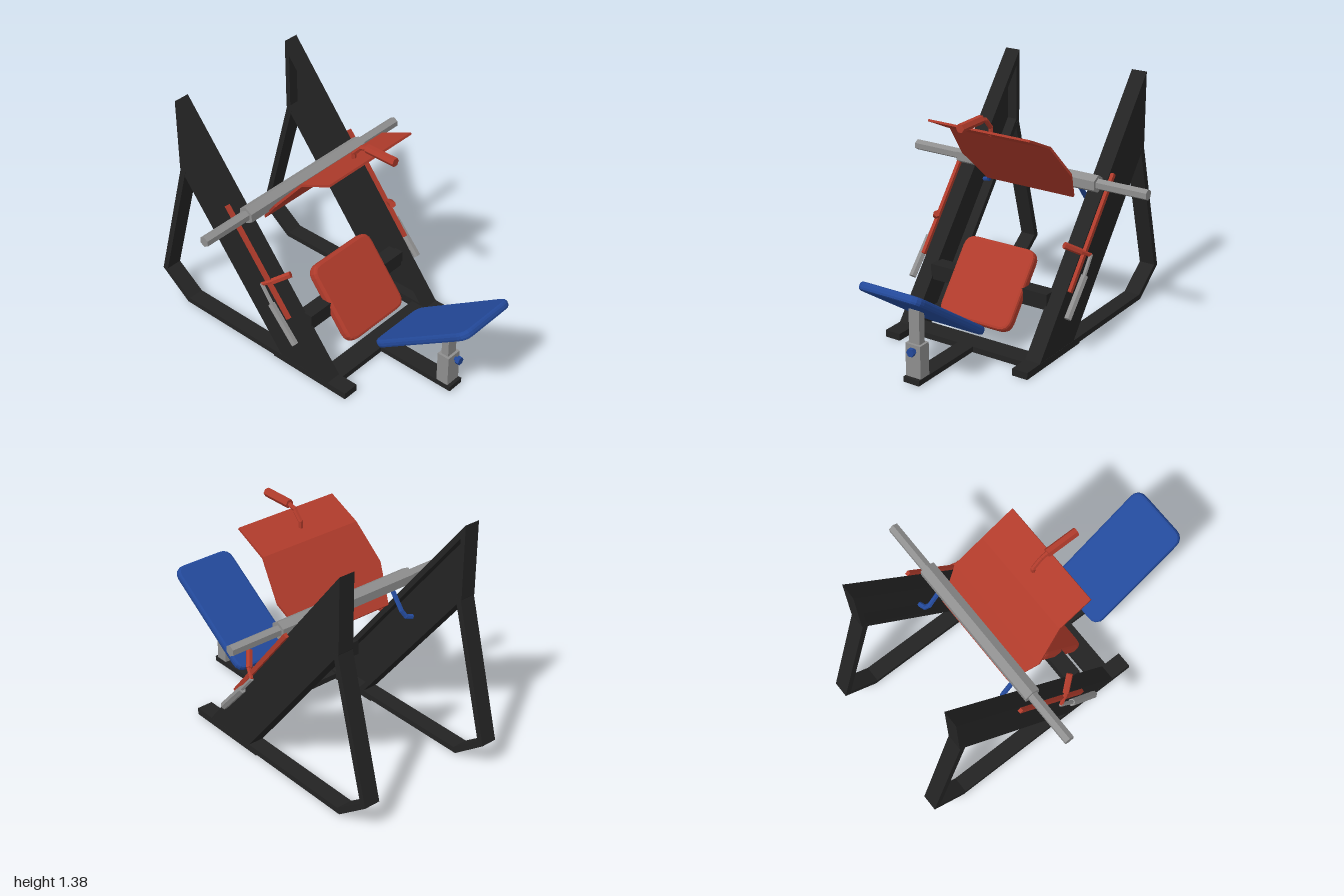
import * as THREE from 'three';

const mat = (name, color) => {
  const m = new THREE.MeshStandardMaterial({ color, flatShading: true });
  m.name = name;
  return m;
};
const V = (x, y, z = 0) => new THREE.Vector3(x, y, z);

export function createModel() {
  const model = new THREE.Group();
  const black = mat('black steel', 0x232323);
  const red = mat('red', 0xb03b2b);
  const blue = mat('blue', 0x23499a);
  const grey = mat('grey metal', 0x8e8e8e);

  const add = (name, geo, material) => {
    const mesh = new THREE.Mesh(geo, material);
    mesh.name = name;
    model.add(mesh);
    return mesh;
  };
  // box given by its minimum and maximum corners
  const box = (name, m, x0, x1, y0, y1, z0, z1) =>
    add(name, new THREE.BoxGeometry(x1 - x0, y1 - y0, z1 - z0), m)
      .position.set((x0 + x1) / 2, (y0 + y1) / 2, (z0 + z1) / 2);
  // six-sided rod between two points
  const rod = (name, m, a, b, r) => {
    const d = b.clone().sub(a);
    const mesh = add(name, new THREE.CylinderGeometry(r, r, d.length(), 6), m);
    mesh.position.copy(a).add(b).multiplyScalar(0.5);
    mesh.quaternion.setFromUnitVectors(V(0, 1, 0), d.normalize());
    return mesh;
  };
  // bent tube: straight pieces joined by small knuckles
  const bentRod = (name, m, points, r) => {
    const path = new THREE.CurvePath();
    for (let i = 1; i < points.length; i++) path.add(new THREE.LineCurve3(points[i - 1], points[i]));
    path.curves.forEach((c, i) => {
      rod(name, m, c.v1, c.v2, r);
      if (i) add(name + 'Joint', new THREE.IcosahedronGeometry(r, 1), m).position.copy(c.v1);
    });
  };
  // side profile in xy, extruded from z0 to z1
  const profile = (name, m, pts, z0, z1, hole) => {
    const shape = new THREE.Shape(pts.map(p => new THREE.Vector2(...p)));
    if (hole) shape.holes.push(new THREE.Path(hole.map(p => new THREE.Vector2(...p))));
    const geo = new THREE.ExtrudeGeometry(shape, { depth: z1 - z0, bevelEnabled: false });
    add(name, geo, m).position.z = z0;
  };
  // cushion with rounded corners and bevelled rim, tilted in the xy plane
  const cushion = (name, m, x, y, angle, length, width, thick, r) => {
    const bevel = 0.015, a = length / 2 - bevel, b = width / 2 - bevel;
    const s = new THREE.Shape();
    s.moveTo(-a + r, -b);
    s.lineTo(a - r, -b).quadraticCurveTo(a, -b, a, -b + r);
    s.lineTo(a, b - r).quadraticCurveTo(a, b, a - r, b);
    s.lineTo(-a + r, b).quadraticCurveTo(-a, b, -a, b - r);
    s.lineTo(-a, -b + r).quadraticCurveTo(-a, -b, -a + r, -b);
    const depth = thick - 2 * bevel;
    const geo = new THREE.ExtrudeGeometry(s, {
      depth, curveSegments: 4, bevelThickness: bevel, bevelSize: bevel, bevelSegments: 2,
    });
    geo.translate(0, 0, -depth / 2).rotateX(-Math.PI / 2).rotateZ(angle);
    add(name, geo, m).position.set(x, y, 0);
  };

  const rail = [[-0.785, 0.955], [-0.045, 0.02], [0.295, 0.02], [-0.785, 1.38]];
  const recess = [[-0.755, 0.97], [-0.03, 0.05], [0.235, 0.05], [-0.755, 1.295]];
  const brace = [
    [0.405, 0], [0.405, 0.04], [-0.79, 0.04], [-0.962, 0.168], [-0.745, 0.945],
    [-0.78, 0.955], [-1, 0.158], [-0.805, 0.008], [-0.12, 0.008], [-0.12, 0],
  ];

  for (const s of [1, -1]) {
    const slab = (name, pts, a, b, hole) =>
      profile(name, black, pts, Math.min(s * a, s * b), Math.max(s * a, s * b), hole);
    // channel-shaped inclined rail, open to the inside
    slab('railWeb', rail, 0.43, 0.463);
    slab('railFlange', rail, 0.37, 0.43, recess);
    slab('baseAndBackBrace', brace, 0.369, 0.464);

    // slide strip on the outside of the rail
    const strip = add('slideStrip', new THREE.BoxGeometry(0.69, 0.025, 0.02), red);
    strip.position.set(-0.195, 0.63, s * 0.482);
    strip.rotation.z = Math.atan2(-0.54, 0.43);

    // safety lever with grip
    rod('leverArm', red, V(-0.15, 0.52, s * 0.506), V(-0.085, 0.558, s * 0.475), 0.012);
    rod('leverHandle', red, V(-0.095, 0.552, s * 0.478), V(-0.02, 0.602, s * 0.417), 0.019);
    rod('leverStem', grey, V(-0.152, 0.525, s * 0.506), V(-0.06, 0.412, s * 0.512), 0.012);
    rod('leverGrip', grey, V(-0.077, 0.428, s * 0.512), V(0.09, 0.238, s * 0.512), 0.022);

    // stop hook on the inside of the rail
    bentRod('stopHook', blue, [
      V(-0.43, 0.695, s * 0.375), V(-0.42, 0.705, s * 0.337),
      V(-0.4, 0.74, s * 0.319), V(-0.325, 0.835, s * 0.319),
    ], 0.014);
  }

  // cross members and centre beam
  box('seatCrossBeam', black, 0, 0.09, 0.255, 0.345, -0.38, 0.38);
  box('baseCrossBeam', black, 0.18, 0.305, 0.005, 0.038, -0.38, 0.38);
  box('centreBeam', black, 0.3, 0.79, 0.008, 0.038, -0.05, 0.05);

  // back rest with its adjustable post
  box('postSleeve', grey, 0.695, 0.77, 0.038, 0.225, -0.047, 0.047);
  box('postTube', grey, 0.71, 0.755, 0.225, 0.415, -0.033, 0.033);
  rod('knobStem', blue, V(0.765, 0.195, -0.01), V(0.79, 0.195, -0.01), 0.012);
  rod('knob', blue, V(0.785, 0.195, -0.01), V(0.808, 0.195, -0.01), 0.024);
  cushion('backRest', blue, 0.673, 0.39, 0.595, 0.73, 0.39, 0.046, 0.05);

  // lower cushion
  cushion('seat', red, 0.078, 0.315, -0.9, 0.47, 0.46, 0.06, 0.05);

  // weight bar with thicker collar
  const y = 0.867, x = -0.305;
  const collar = add('barCollar', new THREE.CylinderGeometry(0.05, 0.05, 0.9, 6), grey);
  const bar = add('weightBar', new THREE.CylinderGeometry(0.031, 0.031, 1.51, 6), grey);
  for (const b of [collar, bar]) {
    b.position.set(x, y, 0);
    b.rotation.x = Math.PI / 2;
  }

  // bent foot plate: rows of x, y and half width
  const rows = [[-0.327, 0.75, 0.285], [-0.18, 0.928, 0.355], [-0.02, 1.118, 0.32], [0.177, 1.21, 0.32]];
  const pos = [], idx = [];
  rows.forEach(([px, py, w], i) => {
    const dx = i === 3 ? 0.005 : 0.009;
    pos.push(px, py, -w, px, py, w, px - dx, py + 0.011, w, px - dx, py + 0.011, -w);
    if (i === 3) return;
    for (let k = 0; k < 4; k++) {
      const a = i * 4 + k, a1 = i * 4 + (k + 1) % 4;
      idx.push(a, a + 4, a1, a + 4, a1 + 4, a1);
    }
  });
  idx.push(0, 1, 2, 0, 2, 3, 12, 14, 13, 12, 15, 14);
  let plate = new THREE.BufferGeometry();
  plate.setAttribute('position', new THREE.Float32BufferAttribute(pos, 3));
  plate.setIndex(idx);
  plate = plate.toNonIndexed();
  plate.computeVertexNormals();
  add('footPlate', plate, red);

  // handle above the foot plate
  bentRod('handleArm', red, [
    V(0.055, 1.155), V(0.055, 1.2), V(0.105, 1.255), V(0.155, 1.268),
  ], 0.013);
  rod('handleGrip', red, V(0.145, 1.268), V(0.335, 1.268), 0.025);

  return model;
}
